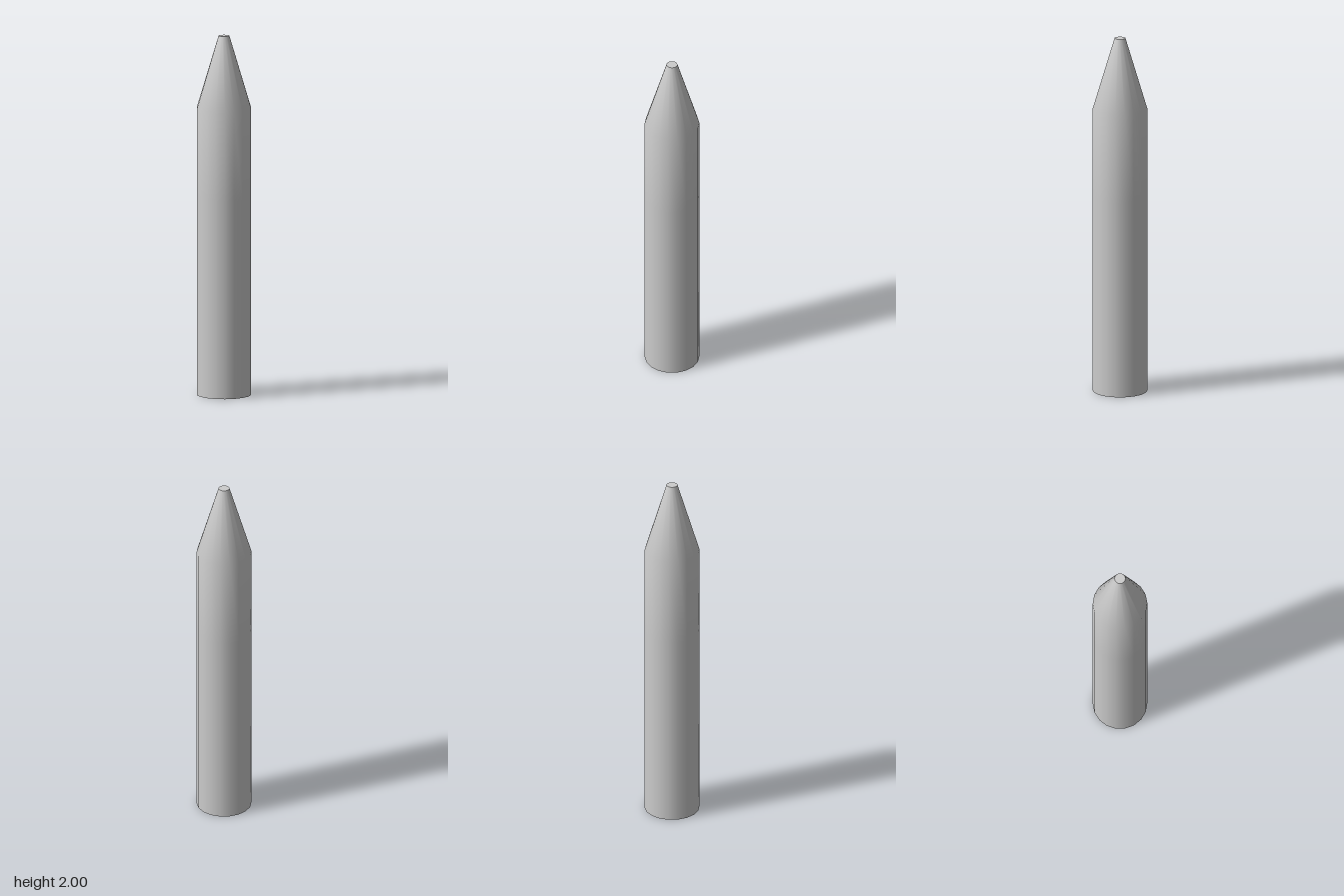
import * as THREE from 'three';

const SIDES = 18;

export function createModel() {
  const group = new THREE.Group();
  const material = new THREE.MeshStandardMaterial({ color: 0xcccccc });

  function add(name, geometry) {
    const mesh = new THREE.Mesh(geometry, material);
    mesh.name = name;
    group.add(mesh);
    return mesh;
  }

  // Shaft and tapered point in one smooth skin, with a corner on the x axis
  const profile = [[0.15, 0], [0.15, 1.1], [0.15, 1.6], [0.03, 2]]
    .map(([r, y]) => new THREE.Vector2(r, y));
  add('shaftAndPoint', new THREE.LatheGeometry(profile, SIDES, Math.PI / 2));

  // Flat ends with crisp edges
  add('bluntTip', new THREE.CircleGeometry(0.03, SIDES).rotateX(-Math.PI / 2)).position.y = 2;
  add('base', new THREE.CircleGeometry(0.15, SIDES).rotateX(Math.PI / 2));

  return group;
}
